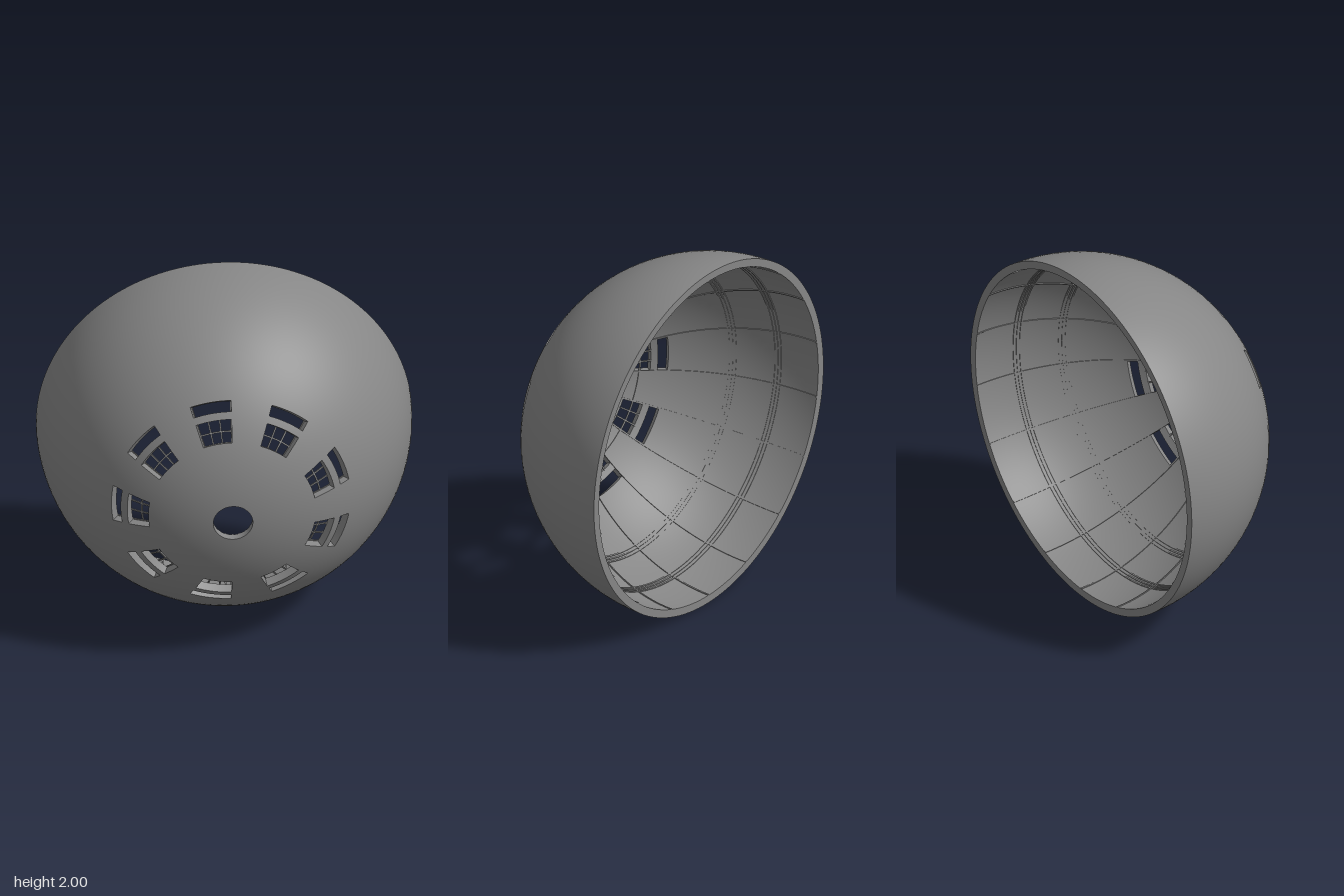
import * as THREE from 'three';
import { ParametricGeometry } from 'three/addons/geometries/ParametricGeometry.js';
import { mergeGeometries, toCreasedNormals } from 'three/addons/utils/BufferGeometryUtils.js';

const RAD = Math.PI / 180;
const OUT = 1, IN = 0.955, RIB = 0.95;      // outer, inner and rib radii
const WINDOW = [26.5, 33.7], SLOT = [36.1, 39.5]; // degrees away from the front pole
const HOLE_R = 0.105;

// Patch through three corners given as [radius, polar angle, turn]; it faces u x v.
function patch(a, b, c, nu, nv) {
  return new ParametricGeometry((u, v, target) => {
    const [r, t, p] = a.map((k, i) => k + u * (b[i] - k) + v * (c[i] - k));
    const s = Math.sin(t * RAD) * r;
    target.set(s * Math.cos(p * RAD), s * Math.sin(p * RAD), r * Math.cos(t * RAD));
  }, nu, nv);
}

// Outer and inner skin of one zone of the dome.
function skins(t0, t1, p0, p1) {
  const nt = Math.max(1, Math.round((t1 - t0) / 2.5)), np = Math.round((p1 - p0) / 2.5);
  return [
    patch([OUT, t0, p0], [OUT, t1, p0], [OUT, t0, p1], nt, np),
    patch([IN, t0, p0], [IN, t0, p1], [IN, t1, p0], np, nt),
  ];
}

// Four walls lining an opening through the shell.
function reveal([t0, t1], p0, p1) {
  return [
    patch([IN, t0, p0], [IN, t0, p1], [OUT, t0, p0], 8, 1),
    patch([IN, t1, p0], [OUT, t1, p0], [IN, t1, p1], 1, 8),
    patch([IN, t0, p0], [OUT, t0, p0], [IN, t1, p0], 1, 3),
    patch([IN, t0, p1], [IN, t1, p1], [OUT, t0, p1], 3, 1),
  ];
}

// Curved bar running from the front pole towards the rim.
function meridianBar(t0, t1, width, turn) {
  const a0 = (90 - t0) * RAD, a1 = (90 - t1) * RAD;
  const shape = new THREE.Shape();
  shape.absarc(0, 0, IN + 0.002, a1, a0, false);
  shape.absarc(0, 0, RIB, a0, a1, true);
  const g = new THREE.ExtrudeGeometry(shape, { depth: width, bevelEnabled: false, curveSegments: 32 });
  return g.translate(0, 0, -width / 2).rotateX(Math.PI / 2).rotateZ(turn * RAD);
}

// Ring around the inside of the dome, centred on a polar angle.
function ring(angle, halfWidth) {
  const corner = (r, t) => new THREE.Vector2(r * Math.sin(t * RAD), r * Math.cos(t * RAD));
  const a = angle - halfWidth, b = angle + halfWidth, r = IN + 0.002;
  const profile = [corner(RIB, b), corner(r, b), corner(r, a), corner(RIB, a), corner(RIB, b)];
  const g = new THREE.LatheGeometry(profile, 144).rotateX(Math.PI / 2);
  return toCreasedNormals(g, 0.5);
}

export function createModel() {
  const model = new THREE.Group();
  const dome = new THREE.Group();
  dome.name = 'dome';
  dome.position.set(0, 1, -0.5);
  model.add(dome);
  const material = new THREE.MeshStandardMaterial({ color: 0x868686 });
  const add = (name, geometries) => {
    const mesh = new THREE.Mesh(mergeGeometries(geometries), material);
    mesh.name = name;
    dome.add(mesh);
  };

  // Shell: solid zones, and the solid sectors between openings
  const holeOut = Math.asin(HOLE_R / OUT) / RAD, holeIn = Math.asin(HOLE_R / IN) / RAD;
  const shell = [
    patch([OUT, holeOut, 0], [OUT, WINDOW[0], 0], [OUT, holeOut, 360], 8, 144),
    patch([IN, holeIn, 0], [IN, holeIn, 360], [IN, WINDOW[0], 0], 144, 8),
    ...skins(WINDOW[1], SLOT[0], 0, 360),
    ...skins(SLOT[1], 90, 0, 360),
  ];
  const walls = [], mullions = [];
  for (let i = 0; i < 9; i++) {
    const mid = 20 + i * 40;
    for (const zone of [WINDOW, SLOT]) {
      shell.push(...skins(zone[0], zone[1], mid + 10, mid + 30));
      walls.push(...reveal(zone, mid - 10, mid + 10));
    }
    for (const side of [-3.3, 3.3]) mullions.push(meridianBar(26.3, 33.9, 0.008, mid + side));
  }
  add('shell', shell);
  add('openingWalls', walls);
  add('windowMullions', mullions);

  // Back rim and round front hole
  add('rim', [patch([IN, 90, 0], [IN, 90, 360], [OUT, 90, 0], 144, 1)]);
  add('frontHoleWall', [patch([IN, holeIn, 0], [OUT, holeOut, 0], [IN, holeIn, 360], 1, 144)]);

  // Inner ribs, on both sides of every sector
  const ribs = [];
  for (let i = 0; i < 18; i++) ribs.push(meridianBar(holeIn + 0.1, 90, 0.009, 10 + i * 20));
  add('ribs', ribs);

  // Window crossbar ring, and two ring beams of three thin hoops each
  add('crossbarRing', [ring(30, 0.25)]);
  for (const angle of [60, 75]) {
    add('ringBeam', [-1.1, 0, 1.1].map((offset) => ring(angle + offset, 0.25)));
  }
  return model;
}
